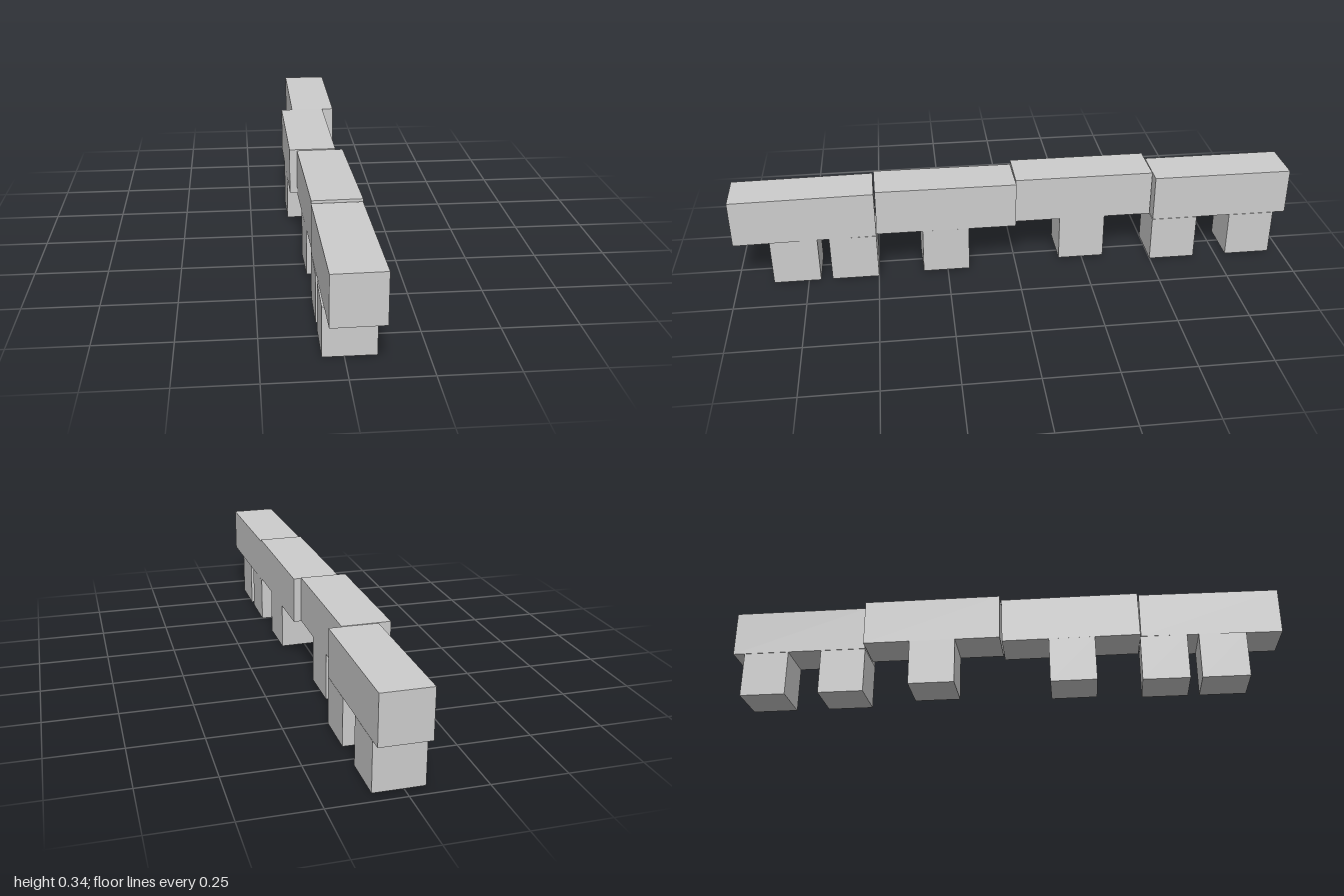
import * as THREE from 'three';

export function createModel() {
  const group = new THREE.Group();
  const stone = new THREE.MeshStandardMaterial({ color: 0xcccccc });
  stone.name = 'pale grey';
  const W = 0.166; // square section of every brick

  // One brick, with a slight yaw and pitch
  function brick(name, length, x, y, z, yaw = 0, pitch = 0) {
    const mesh = new THREE.Mesh(new THREE.BoxGeometry(W, W, length), stone);
    mesh.name = name;
    mesh.position.set(x, y, z);
    mesh.rotation.set(pitch, yaw, 0);
    group.add(mesh);
  }

  // Upper row of long bricks, front to back: x, y, z, yaw, pitch
  [
    [0.02, 0.25, 0.75, 0.022, 0],
    [0.009, 0.254, 0.25, 0.026, -0.016],
    [-0.026, 0.252, -0.25, 0.008, -0.004],
    [0.015, 0.25, -0.75, 0, 0],
  ].forEach((p, i) => brick('beam' + (i + 1), 0.497, ...p));

  // Short supporting blocks, front to back
  [
    [0.016, 0.083, 0.79, 0, 0],
    [0.015, 0.083, 0.583, 0, 0],
    [0.009, 0.088, 0.256, 0.026, -0.016],
    [-0.026, 0.086, -0.246, 0.008, -0.004],
    [0.015, 0.083, -0.583, 0, 0],
    [0.015, 0.083, -0.872, 0, 0],
  ].forEach((p, i) => brick('supportBlock' + (i + 1), W, ...p));

  return group;
}
